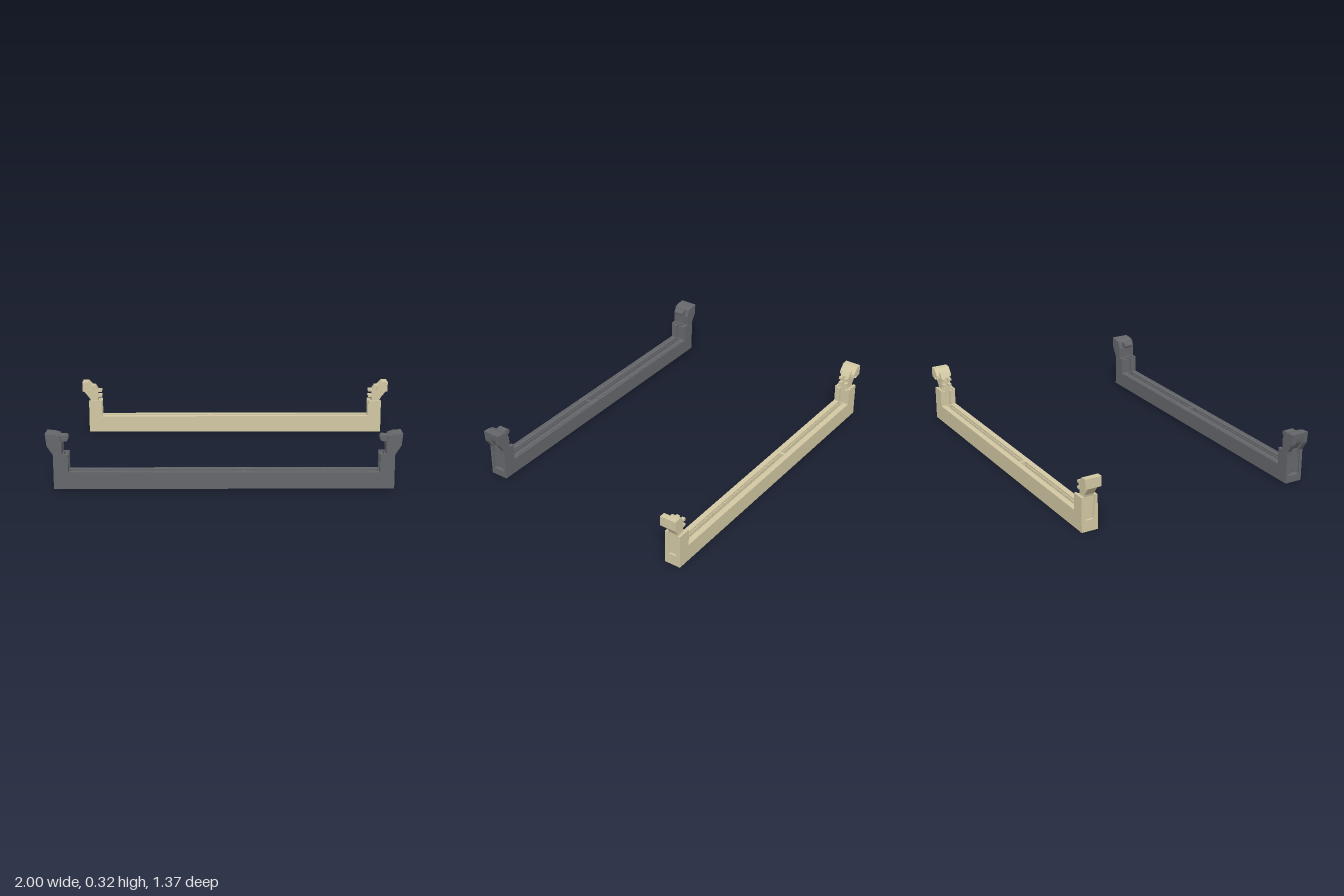
import * as THREE from 'three';
import { mergeGeometries } from 'three/addons/utils/BufferGeometryUtils.js';

const END = 0.925, INNER = 0.845; // half length of housing, inner face of end towers
const toShape = (pts) => new THREE.Shape(pts.map(([a, b]) => new THREE.Vector2(a, b)));
const extrude = (shape, depth) =>
  new THREE.ExtrudeGeometry(shape, { depth, bevelEnabled: false, curveSegments: 8 });

// side profile (x, y) extruded along z from z0 to z1
const sideSlab = (pts, z0, z1) => extrude(toShape(pts), z1 - z0).translate(0, 0, z0);
// end profile (z, y) extruded along x from x0 to x1
const endSlab = (pts, x0, x1) => extrude(toShape(pts), x1 - x0).rotateY(-Math.PI / 2).translate(x1, 0, 0);
const box = (x0, x1, y0, y1, z0, z1) =>
  new THREE.BoxGeometry(x1 - x0, y1 - y0, z1 - z0).translate((x0 + x1) / 2, (y0 + y1) / 2, (z0 + z1) / 2);
const pin = (x, y, r, z0, z1) =>
  new THREE.CylinderGeometry(r, r, z1 - z0, 16).rotateX(Math.PI / 2).translate(x, y, (z0 + z1) / 2);
const mirrorPts = (half) => [...half, ...half.map(([z, y]) => [-z, y]).reverse()];

function part(name, geos, material) {
  const mesh = new THREE.Mesh(mergeGeometries(geos.map((g) => (g.index ? g.toNonIndexed() : g))), material);
  mesh.name = name;
  return mesh;
}

function rectHole(x0, x1, y0, y1) {
  return new THREE.Path([[x0, y0], [x0, y1], [x1, y1], [x1, y0]].map(([a, b]) => new THREE.Vector2(a, b)));
}

// long bar with two card slots parted by a key, contact teeth and optional contact holes
function housing(o, mat) {
  const { half, base, key, slotHalf } = o;
  const floor = 0.045, top = 0.1;
  const deck = toShape([[-INNER, -half], [INNER, -half], [INNER, half], [-INNER, half]]);
  const spans = [[-INNER + 0.004, key - 0.008], [key + 0.008, INNER - 0.004]];
  const teeth = [];
  for (const [a, b] of spans) {
    deck.holes.push(rectHole(a, b, -slotHalf, slotHalf));
    for (let x = a + 0.02; x < b - 0.02; x += 0.0178) {
      for (const s of [-1, 1]) {
        const z0 = s * slotHalf, z1 = s * (slotHalf - 0.008);
        teeth.push(box(x - 0.005, x + 0.005, floor, top - 0.008, Math.min(z0, z1), Math.max(z0, z1)));
        if (o.holes && x > a + 0.03 && x < b - 0.03) {
          const zc = s * (half - 0.012), hole = new THREE.Path();
          for (let i = 0; i < 6; i++) {
            const t = (-i * Math.PI) / 3, px = x + 0.006 * Math.cos(t), py = zc + 0.006 * Math.sin(t);
            i ? hole.lineTo(px, py) : hole.moveTo(px, py);
          }
          hole.closePath();
          deck.holes.push(hole);
        }
      }
    }
  }
  const g = new THREE.Group();
  g.name = 'housing';
  g.add(part('slottedDeck', [extrude(deck, top - floor).rotateX(-Math.PI / 2).translate(0, floor, 0)], mat));
  g.add(part('baseBar', [box(-INNER, INNER, base, floor, -half, half)], mat));
  g.add(part('contactTeeth', teeth, mat));
  return g;
}

// end tower: notched block with narrow card guides on its inner face
function tower(o, mat) {
  const { half, base, notch } = o;
  const outline = [[-half, base], [half, base], [half, 0.2], ...mirrorPts(notch), [-half, 0.2]];
  const guides = [-1, 1].map((s) => {
    const z = [s * 0.016, s * notch[0][0]].sort((a, b) => a - b);
    return box(INNER, INNER + 0.018, 0.08, 0.19, z[0], z[1]);
  });
  return part('endTower', [endSlab(outline, INNER, END), ...guides], mat);
}

// pale latch: tapered leg, slim neck, wide sloped head and two card fingers
function fingerLatch(o, mat) {
  const h = o.half;
  const head = [[0.892, 0.265], [0.93, 0.265], [0.92, 0.25], [0.965, 0.262], [0.965, 0.32], [0.93, 0.32], [0.895, 0.283]];
  const neck = [[0.87, 0.19], [0.914, 0.19], [0.92, 0.21], [0.962, 0.265], [0.935, 0.3], [0.885, 0.295], [0.87, 0.27]];
  const g = new THREE.Group();
  g.add(part('latchLeg', [endSlab(mirrorPts([[0.031, 0.2], [0.02, 0.067]]), 0.868, 0.916)], mat));
  g.add(part('latchNeck', [sideSlab(neck, -0.028, 0.028)], mat));
  g.add(part('latchHead', [sideSlab(head, -h, h)], mat));
  g.add(part('latchFingers', [0.22, 0.255].flatMap((y) => [
    box(INNER, 0.875, y, y + 0.014, -0.028, -0.008),
    box(INNER, 0.875, y, y + 0.014, 0.008, 0.028),
  ]), mat));
  return g;
}

// dark latch: broad head with a thumb groove, round card nose and lobed foot
function groovedLatch(o, mat) {
  const h = o.half;
  const cheek = [[0.878, 0.2], [0.9, 0.162], [0.92, 0.165], [0.926, 0.2], [0.958, 0.25], [0.965, 0.315], [0.92, 0.312], [0.89, 0.302], [0.876, 0.26]];
  const core = [[0.878, 0.17], [0.91, 0.17], [0.912, 0.205], [0.943, 0.252], [0.95, 0.285], [0.962, 0.287], [0.965, 0.315], [0.92, 0.312], [0.89, 0.302], [0.876, 0.26]];
  const g = new THREE.Group();
  g.add(part('latchCheeks', [sideSlab(cheek, -h, -0.025), sideSlab(cheek, 0.025, h)], mat));
  g.add(part('latchCore', [sideSlab(core, -0.025, 0.025)], mat));
  g.add(part('latchNose', [pin(0.861, 0.285, 0.017, -0.03, 0.03), box(0.861, 0.9, 0.27, 0.3, -0.03, 0.03)], mat));
  const foot = toShape([[-0.034, 0.2], [-0.034, 0.075]]);
  foot.absarc(-0.018, 0.072, 0.016, Math.PI, Math.PI * 2, false);
  foot.lineTo(0.002, 0.072);
  foot.absarc(0.018, 0.072, 0.016, Math.PI, Math.PI * 2, false);
  foot.lineTo(0.034, 0.2);
  g.add(part('latchFoot', [extrude(foot, 0.045).rotateY(-Math.PI / 2).translate(0.915, 0, 0)], mat));
  return g;
}

function socket(name, o, makeLatch) {
  const mat = new THREE.MeshStandardMaterial({ color: o.color });
  const g = new THREE.Group();
  g.name = name;
  g.add(housing(o, mat));
  for (const side of ['left', 'right']) {
    const end = new THREE.Group();
    end.name = side + 'End';
    const latch = makeLatch(o, mat);
    latch.name = side + 'Latch';
    end.add(tower(o, mat), latch);
    if (side === 'right') end.rotation.y = Math.PI;
    g.add(end);
  }
  g.position.set(o.x, 0, o.z);
  return g;
}

export function createModel() {
  const model = new THREE.Group();
  model.name = 'memorySockets';
  model.add(socket('darkSocket', {
    color: 0x66676b, x: -0.035, z: 0.632, half: 0.0525, base: 0.008, key: 0.107, slotHalf: 0.017,
    holes: true, notch: [[0.036, 0.2], [0.036, 0.05]],
  }, groovedLatch));
  model.add(socket('paleSocket', {
    color: 0xd2c8a3, x: 0.035, z: -0.641, half: 0.048, base: 0, key: -0.162, slotHalf: 0.016,
    holes: false, notch: [[0.034, 0.2], [0.022, 0.065]],
  }, fingerLatch));
  return model;
}
